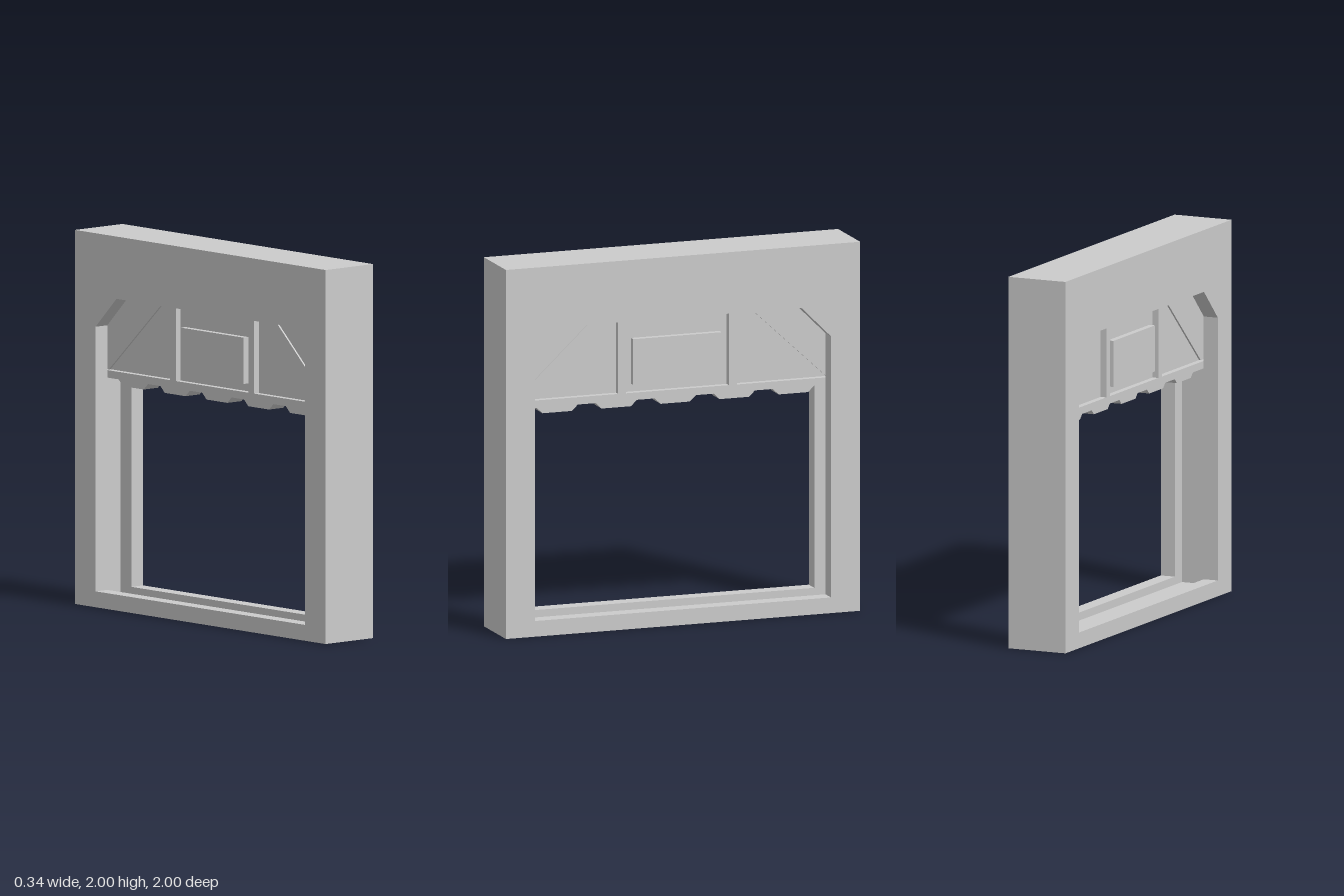
import * as THREE from 'three';

const material = new THREE.MeshStandardMaterial({ color: 0xcccccc, flatShading: true });

// Outlines are drawn in (z, y); every part is symmetric or mirrored in z.
const outline = (pts) => pts.map(([z, y]) => new THREE.Vector2(z, y));
const rect = (z0, z1, y0, y1) => [[z0, y0], [z1, y0], [z1, y1], [z0, y1]];

// Extrudes an outline from x0 to x1, with an optional hole
function slab(name, pts, x0, x1, hole) {
  const shape = new THREE.Shape(outline(pts));
  if (hole) shape.holes.push(new THREE.Path(outline(hole)));
  const geo = new THREE.ExtrudeGeometry(shape, { depth: x1 - x0, bevelEnabled: false });
  geo.translate(0, 0, x0);
  geo.rotateY(Math.PI / 2);
  const mesh = new THREE.Mesh(geo, material);
  mesh.name = name;
  return mesh;
}

// Tapered tooth outline: wide at yWide, narrow at yNarrow
const tooth = (z, yWide, yNarrow) => [
  [z - 0.125, yWide], [z - 0.083, yNarrow], [z + 0.083, yNarrow], [z + 0.125, yWide],
];

const HALF = 0.168;   // half depth of the frame
const GROOVE = 0.085; // half width of the door groove
const PANEL = 0.05;   // half thickness of the door panel
const RIB = 0.084;    // face of the raised ribs
const BRACE = 0.06;   // face of the shallow diagonal braces

function createFrame() {
  const frame = new THREE.Group();
  frame.name = 'doorFrame';
  const outer = rect(-1, 1, 0, 2);
  const opening = [
    [-0.835, 0.085], [0.835, 0.085], [0.835, 1.5], [0.668, 1.667], [-0.668, 1.667], [-0.835, 1.5],
  ];
  // Two face plates with a groove layer between them
  frame.add(slab('frameFaceLeft', outer, GROOVE, HALF, opening));
  frame.add(slab('frameFaceRight', outer, -HALF, -GROOVE, opening));
  frame.add(slab('frameGroove', outer, -GROOVE, GROOVE, rect(-0.92, 0.92, 0.042, 1.92)));
  return frame;
}

function createDoor() {
  const door = new THREE.Group();
  door.name = 'slidingDoor';
  door.add(slab('doorPanel', rect(-0.915, 0.915, 1.24, 1.915), -PANEL, PANEL));
  door.add(slab('bottomRail', rect(-0.915, 0.915, 1.22, 1.26), -RIB, RIB));

  // Locking teeth along the bottom edge
  for (let i = -2; i <= 2; i++) {
    door.add(slab('bottomTooth', tooth(i / 3, 1.22, 1.18), -PANEL, PANEL));
  }

  // Raised work on both faces
  for (const [side, face] of [['left', 1], ['right', -1]]) {
    const raised = (name, pts, top) => {
      const [x0, x1] = face > 0 ? [PANEL, top] : [-top, -PANEL];
      door.add(slab(side + name, pts, x0, x1));
    };
    raised('CentrePlate', rect(-0.25, 0.25, 1.302, 1.55), RIB);
    raised('UpperLug', tooth(0, 1.72, 1.68), RIB);
    for (const s of [-1, 1]) {
      raised('UprightRib', rect(s * 0.29, s * 0.335, 1.26, 1.915), RIB);
      raised('DiagonalBrace', [
        [s * 0.85, 1.26], [s * 0.908, 1.26], [s * 0.243, 1.88], [s * 0.185, 1.88],
      ], BRACE);
    }
  }
  return door;
}

export function createModel() {
  const model = new THREE.Group();
  model.name = 'slidingDoorway';
  model.add(createFrame(), createDoor());
  return model;
}
